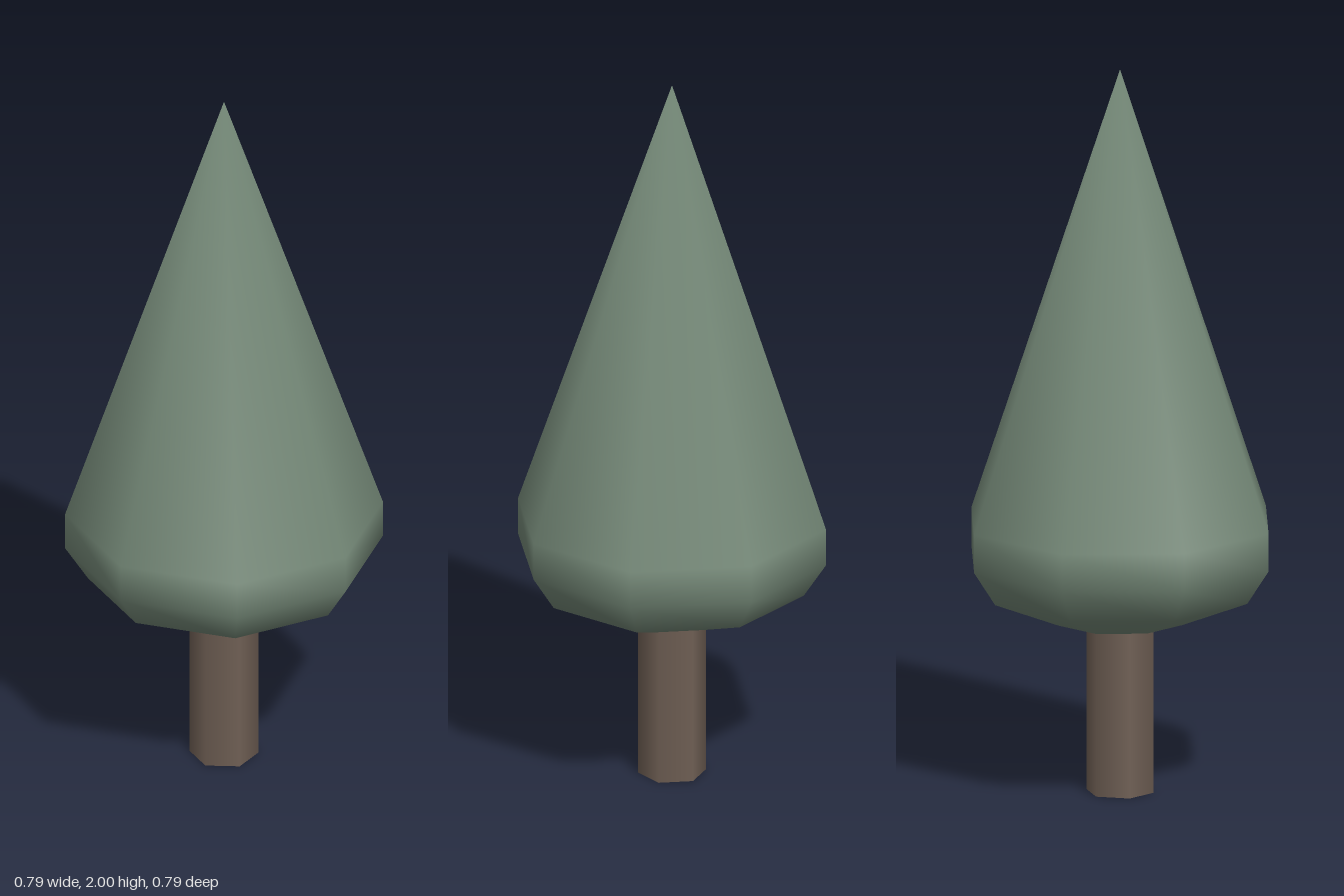
import * as THREE from 'three';
import { mergeVertices } from 'three/addons/utils/BufferGeometryUtils.js';

export function createModel() {
  const tree = new THREE.Group();
  tree.name = 'tree';

  const leafGreen = new THREE.MeshStandardMaterial({ color: 0x738776 });
  leafGreen.name = 'leafGreen';
  const barkBrown = new THREE.MeshStandardMaterial({ color: 0x6f5f54, side: THREE.DoubleSide });
  barkBrown.name = 'barkBrown';

  // Foliage: eight-sided profile from underside to tip, as [radius, height]
  const profile = [[0, 0.45], [0.08, 0.455], [0.18, 0.475], [0.368, 0.55], [0.43, 0.645], [0.43, 0.75], [0, 2]];
  const lathe = new THREE.LatheGeometry(profile.map(([r, y]) => new THREE.Vector2(r, y)), 8, Math.PI / 8);
  // Weld the seam and tip so the whole crown shades smoothly
  lathe.deleteAttribute('normal');
  lathe.deleteAttribute('uv');
  const crown = mergeVertices(lathe);
  crown.computeVertexNormals();
  const foliage = new THREE.Mesh(crown, leafGreen);
  foliage.name = 'foliage';

  // Trunk: open six-sided tube reaching into the foliage
  const height = 0.48;
  const trunk = new THREE.Mesh(new THREE.CylinderGeometry(0.093, 0.093, height, 6, 1, true), barkBrown);
  trunk.name = 'trunk';
  trunk.position.y = height / 2;

  tree.add(foliage, trunk);
  return tree;
}
